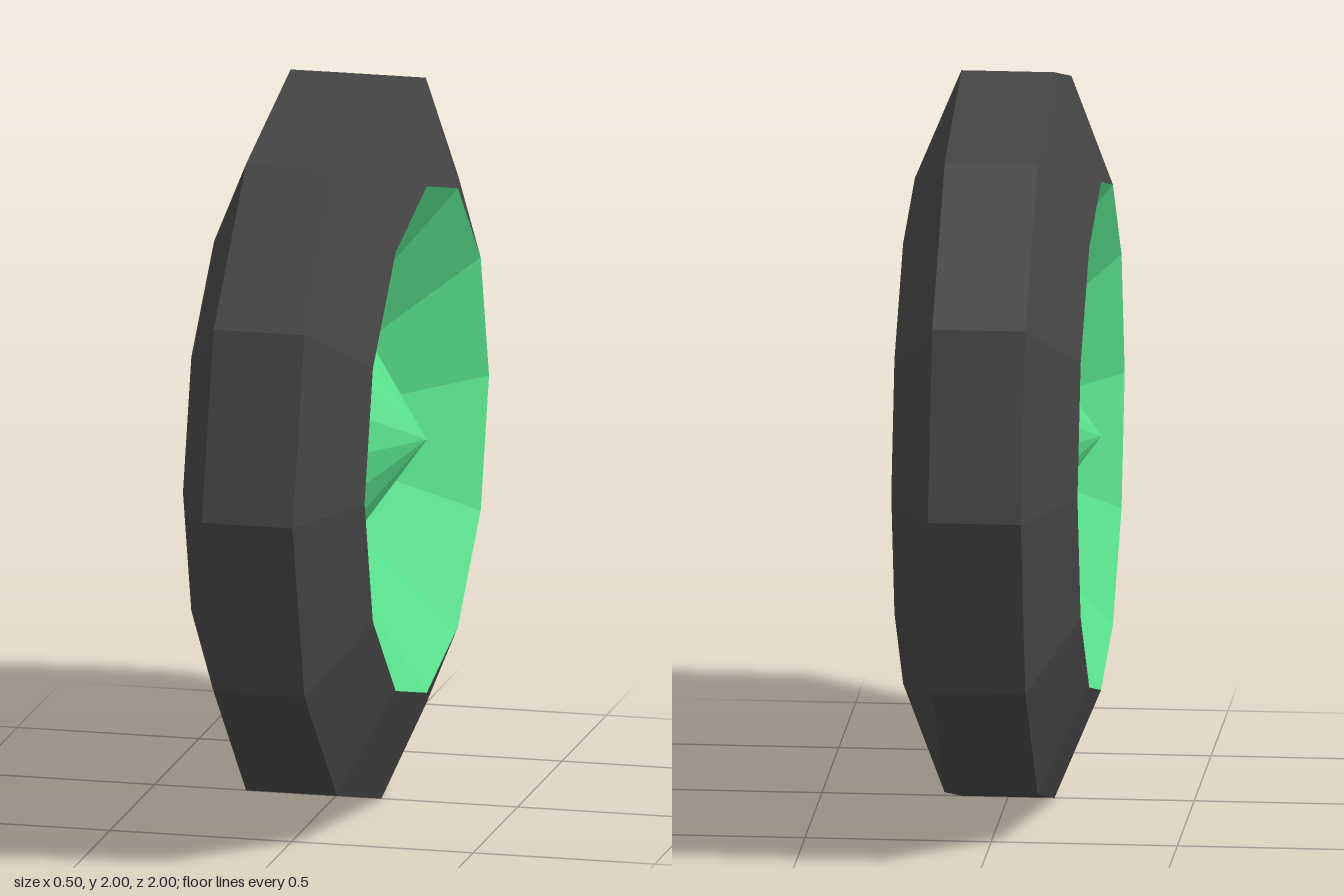
import * as THREE from 'three';

const SIDES = 12;

// Revolves a [radius, offset] profile around the x axle.
function ring(name, profile, color) {
  const points = profile.map(([r, x]) => new THREE.Vector2(r, x));
  const geometry = new THREE.LatheGeometry(points, SIDES);
  geometry.rotateZ(-Math.PI / 2);
  const material = new THREE.MeshStandardMaterial({ color, flatShading: true });
  const mesh = new THREE.Mesh(geometry, material);
  mesh.name = name;
  mesh.position.y = 1;
  return mesh;
}

export function createModel() {
  const wheel = new THREE.Group();
  wheel.name = 'wheel';
  const green = 0x58de8b;

  // Tyre: flat tread with sloping sidewalls
  wheel.add(ring('tire', [[0.7, -0.25], [1, -0.125], [1, 0.125], [0.7, 0.25]], 0x444444));

  // Rim: dished on both sides, meeting at the middle
  wheel.add(ring('rim', [[0.7, 0.25], [0.35, 0], [0.7, -0.25]], green));

  // Hub: double cone reaching out to the sidewall planes
  wheel.add(ring('hub', [[0, -0.25], [0.35, 0], [0, 0.25]], green));

  return wheel;
}
